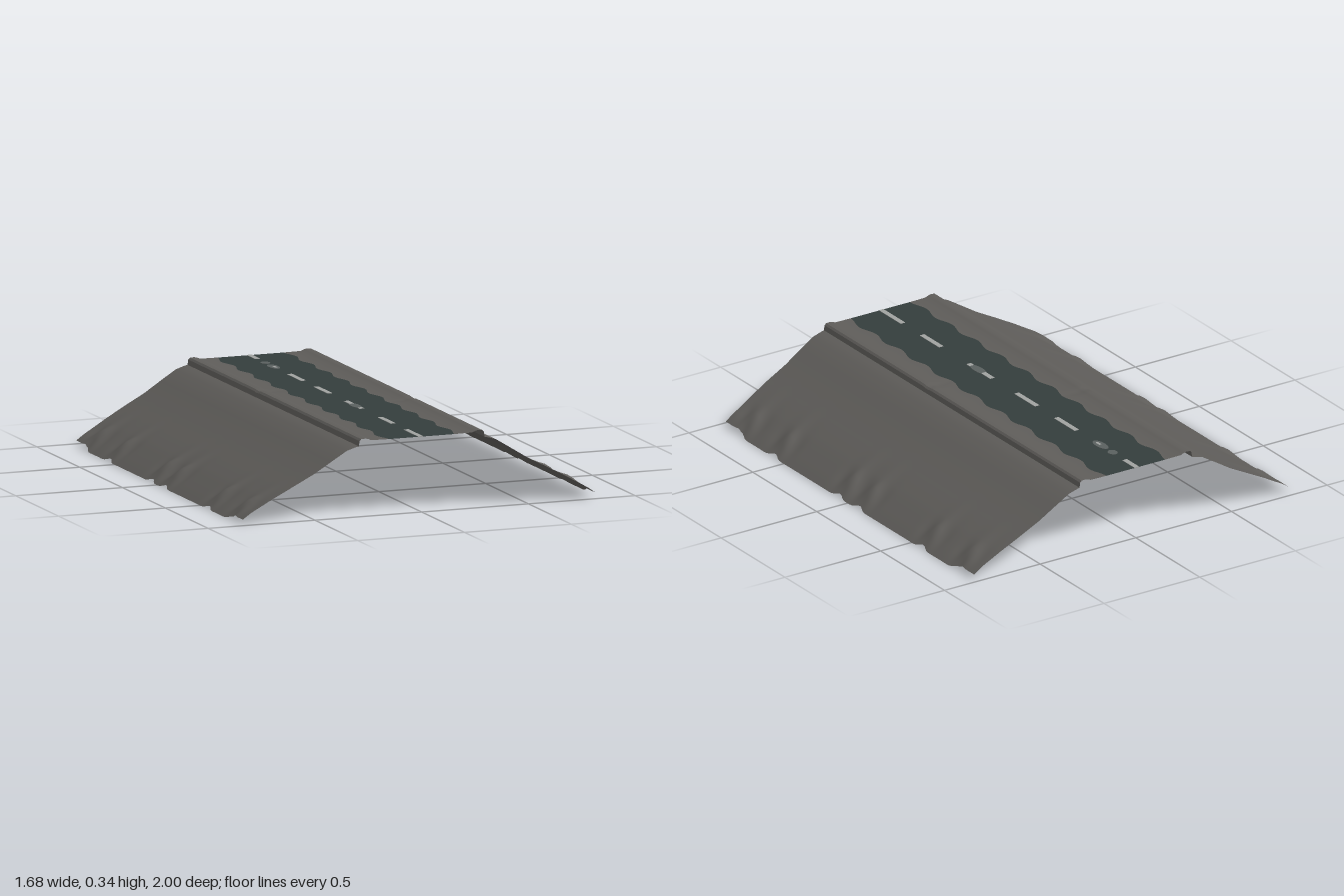
import * as THREE from 'three';
import { toCreasedNormals } from 'three/addons/utils/BufferGeometryUtils.js';

const mat = (name, color, side = THREE.FrontSide) =>
  Object.assign(new THREE.MeshStandardMaterial({ color, side }), { name });

const ROWS = 120;
const DECK = 0.336;

// Half cross-section outside the asphalt: shoulder, kerb lip, embankment
const PROFILE = [
  [0.235, 0.337], [0.25, 0.343], [0.263, 0.346], [0.283, 0.345], [0.291, 0.337],
  [0.294, 0.314], [0.315, 0.309], [0.35, 0.298], [0.42, 0.255], [0.5, 0.205],
  [0.6, 0.153], [0.69, 0.105], [0.72, 0.086], [0.75, 0.066], [0.78, 0.046],
  [0.805, 0.029], [0.825, 0.014], [0.84, 0.003],
];
// Places along z where the foot of the slope is dented
const FOLDS = [-0.87, -0.59, -0.08, 0.08, 0.6, 0.87];

const roadEdge = z => 0.165 + 0.011 * Math.cos((z + 0.1) * Math.PI * 10);
const bell = (t, w) => Math.exp(-(t * t) / (w * w));

// Grid surface facing up; point(u index, z) returns [x, y, z]
function sheet(cols, point, flip) {
  const pos = [], idx = [];
  for (let r = 0; r <= ROWS; r++) {
    const z = -1 + (2 * r) / ROWS;
    for (let c = 0; c < cols; c++) pos.push(...point(c, z));
  }
  for (let r = 0; r < ROWS; r++) {
    for (let c = 0; c < cols - 1; c++) {
      const a = r * cols + c, b = a + 1, d = a + cols, e = d + 1;
      if (flip) idx.push(a, b, d, b, e, d);
      else idx.push(a, d, b, b, d, e);
    }
  }
  const g = new THREE.BufferGeometry();
  g.setAttribute('position', new THREE.Float32BufferAttribute(pos, 3));
  g.setIndex(idx);
  return toCreasedNormals(g, 0.6);
}

// One side of the ground, from the asphalt edge down to the foot
function bankPoint(side) {
  return (c, z) => {
    if (c === 0) return [side * roadEdge(z), DECK, z];
    let [x, y] = PROFILE[c - 1];
    const foot = THREE.MathUtils.smoothstep(x, 0.68, 0.84);
    const swell = bell(x - 0.765, 0.05);
    for (const f of FOLDS) {
      const d = z - f;
      y += 0.019 * swell * bell(d, 0.035) - 0.006 * swell * bell(Math.abs(d) - 0.07, 0.03);
      x -= 0.016 * foot * bell(d, 0.03);
      y += 0.009 * foot * bell(d, 0.03);
    }
    // lifted corners
    const corner = THREE.MathUtils.smoothstep(Math.abs(z), 0.87, 0.91) * foot;
    x -= 0.014 * corner;
    y += 0.02 * corner;
    // slight wear along the kerb
    if (c < 6) y -= 0.004 * bell(z - 0.2 * side, 0.02);
    // ends curve in toward the foot
    const inset = 0.01 * THREE.MathUtils.smoothstep(x, 0.3, 0.6)
      + 0.018 * THREE.MathUtils.smoothstep(x, 0.55, 0.82);
    return [side * x, Math.max(y, 0), z * (1 - inset)];
  };
}

export function createModel() {
  const group = new THREE.Group();
  const ground = mat('ground grey', 0x5e5c59, THREE.DoubleSide);
  const asphalt = mat('asphalt', 0x343d3c, THREE.DoubleSide);
  const paint = mat('lane paint', 0xa0a2a0);
  const worn = mat('worn paint', 0x5a605f);

  const add = (name, geometry, material) => {
    const m = new THREE.Mesh(geometry, material);
    m.name = name;
    group.add(m);
    return m;
  };

  // Embankments with kerbs
  for (const side of [1, -1]) {
    add(side > 0 ? 'leftEmbankment' : 'rightEmbankment',
      sheet(PROFILE.length + 1, bankPoint(side), side < 0), ground);
  }

  // Scalloped road strip
  add('road', sheet(5, (c, z) => [(c / 2 - 1) * roadEdge(z), DECK, z], false), asphalt);

  // Centre-line dashes: start z, end z, showing through on both faces
  const dashes = [[-1, -0.905], [-0.53, -0.37], [-0.22, -0.06], [0.13, 0.2],
    [0.29, 0.315], [0.53, 0.68], [0.83, 1]];
  for (const [a, b] of dashes) {
    add('laneDash', new THREE.BoxGeometry(0.023, 0.004, b - a), paint)
      .position.set(-0.005, DECK, (a + b) / 2);
  }

  // Worn oval patches: z, half width, half length
  for (const [z, w, l] of [[-0.81, 0.021, 0.025], [-0.715, 0.023, 0.052], [0.24, 0.021, 0.06]]) {
    const patch = add('wornPatch', new THREE.CylinderGeometry(1, 1, 0.003, 16), worn);
    patch.scale.set(w, 1, l);
    patch.position.set(-0.006, DECK, z);
  }
  add('paintFleck', new THREE.BoxGeometry(0.012, 0.005, 0.03), paint)
    .position.set(-0.005, DECK, -0.7);

  return group;
}
